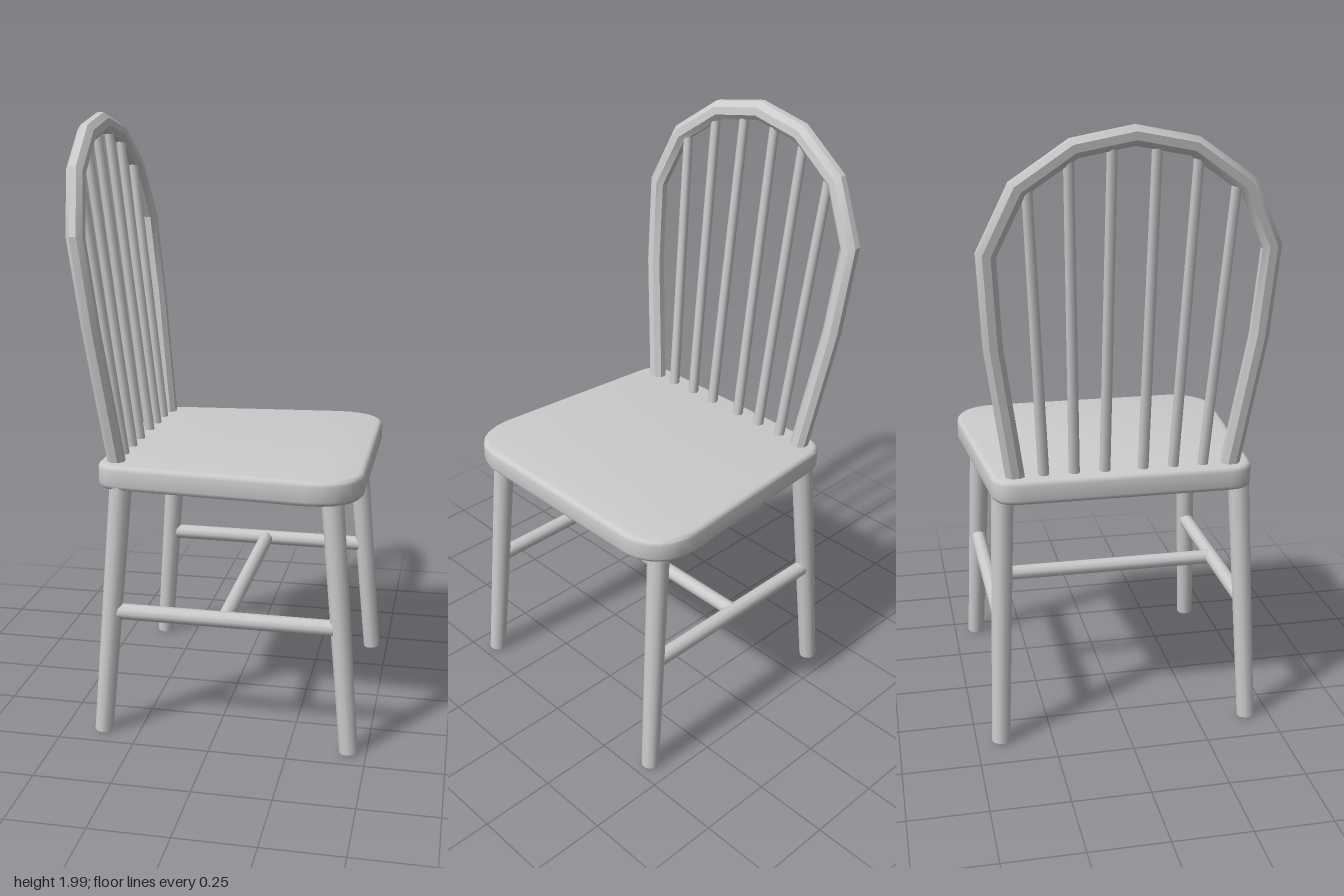
import * as THREE from 'three';
import { toCreasedNormals } from 'three/addons/utils/BufferGeometryUtils.js';

const material = new THREE.MeshStandardMaterial({ color: 0xcccccc });
const UP = new THREE.Vector3(0, 1, 0);

// Tapered round bar between two points
function rod(name, from, to, r0, r1, sides = 10) {
  const a = new THREE.Vector3(...from), b = new THREE.Vector3(...to);
  const dir = b.clone().sub(a);
  const mesh = new THREE.Mesh(new THREE.CylinderGeometry(r1, r0, dir.length(), sides), material);
  mesh.quaternion.setFromUnitVectors(UP, dir.clone().normalize());
  mesh.position.copy(a).add(b).multiplyScalar(0.5);
  mesh.name = name;
  return mesh;
}

// Depth of the raked back plane at a given height
const backX = (y) => -0.326 - 0.122 * (y - 0.9);

// Seat slab: wide at the front, rounded corners and softened rim
function seat() {
  const s = new THREE.Shape();
  s.moveTo(0.466, -0.34);
  s.lineTo(0.466, 0.34);
  s.bezierCurveTo(0.455, 0.42, 0.40, 0.475, 0.30, 0.474);
  s.lineTo(-0.30, 0.425);
  s.quadraticCurveTo(-0.385, 0.42, -0.385, 0.34);
  s.lineTo(-0.385, -0.34);
  s.quadraticCurveTo(-0.385, -0.42, -0.30, -0.425);
  s.lineTo(0.30, -0.474);
  s.bezierCurveTo(0.40, -0.475, 0.455, -0.42, 0.466, -0.34);
  const bevel = 0.016;
  const geo = new THREE.ExtrudeGeometry(s, {
    depth: 0.08 - 2 * bevel, curveSegments: 6, bevelEnabled: true,
    bevelSize: bevel, bevelOffset: -bevel, bevelThickness: bevel, bevelSegments: 3,
  });
  geo.rotateX(Math.PI / 2);
  geo.translate(0, 0.91 - bevel, 0);
  const mesh = new THREE.Mesh(toCreasedNormals(geo, 0.6), material);
  mesh.name = 'seat';
  return mesh;
}

// Bent back hoop: a faceted bar swept with mitred joints along an arch
function hoop() {
  const half = [[0.345, 0.88], [0.414, 1.34], [0.432, 1.625], [0.342, 1.815], [0.178, 1.928]];
  const path = [...half, [0, 1.962], ...half.map(([z, y]) => [-z, y]).reverse()]
    .map(([z, y]) => new THREE.Vector2(z, y));
  const sides = 8, radius = 0.032, positions = [], index = [];
  path.forEach((p, i) => {
    const before = p.clone().sub(path[Math.max(i - 1, 0)]).normalize();
    const after = path[Math.min(i + 1, path.length - 1)].clone().sub(p).normalize();
    const tangent = before.clone().add(after).normalize();
    const stretch = 1 / tangent.dot(i ? before : after);
    for (let k = 0; k < sides; k++) {
      const t = ((k + 0.5) / sides) * Math.PI * 2;
      const across = Math.cos(t) * radius * stretch;
      const y = p.y + tangent.x * across;
      positions.push(backX(y) + Math.sin(t) * 0.029, y, p.x - tangent.y * across);
      if (i < path.length - 1) {
        const a = i * sides + k, b = i * sides + (k + 1) % sides;
        index.push(a, a + sides, b, b, a + sides, b + sides);
      }
    }
  });
  // End caps
  const last = (path.length - 1) * sides;
  for (let k = 1; k < sides - 1; k++) {
    index.push(0, k, k + 1, last, last + k + 1, last + k);
  }
  const geo = new THREE.BufferGeometry();
  geo.setAttribute('position', new THREE.Float32BufferAttribute(positions, 3));
  geo.setIndex(index);
  const mat = material.clone();
  mat.side = THREE.DoubleSide;
  const mesh = new THREE.Mesh(toCreasedNormals(geo, 0.5), mat);
  // Face winding outward
  mesh.geometry.computeBoundingSphere();
  mesh.name = 'backHoop';
  return mesh;
}

export function createModel() {
  const chair = new THREE.Group();
  chair.name = 'chair';
  chair.add(seat(), hoop());

  for (const side of [1, -1]) {
    const label = side > 0 ? 'Left' : 'Right';
    // Splayed legs
    chair.add(
      rod('frontLeg' + label, [0.443, 0.003, side * 0.42], [0.372, 0.85, side * 0.388], 0.03, 0.036),
      rod('backLeg' + label, [-0.369, 0.003, side * 0.42], [-0.303, 0.85, side * 0.388], 0.03, 0.036),
    );
    // Side stretcher
    chair.add(rod('sideStretcher' + label, [-0.335, 0.418, side * 0.404], [0.408, 0.415, side * 0.404], 0.026, 0.026));
    // Back spindles, fanning outward
    [[0.062, 0.066, 1.94], [0.16, 0.192, 1.91], [0.257, 0.312, 1.83]].forEach(([z0, z1, top], i) => {
      chair.add(rod('spindle' + label + (i + 1),
        [backX(0.88), 0.88, side * z0], [backX(top), top, side * z1], 0.018, 0.016, 8));
    });
  }
  // Cross stretcher joining the two side stretchers
  chair.add(rod('crossStretcher', [0.035, 0.416, -0.404], [0.035, 0.416, 0.404], 0.025, 0.025));
  return chair;
}
